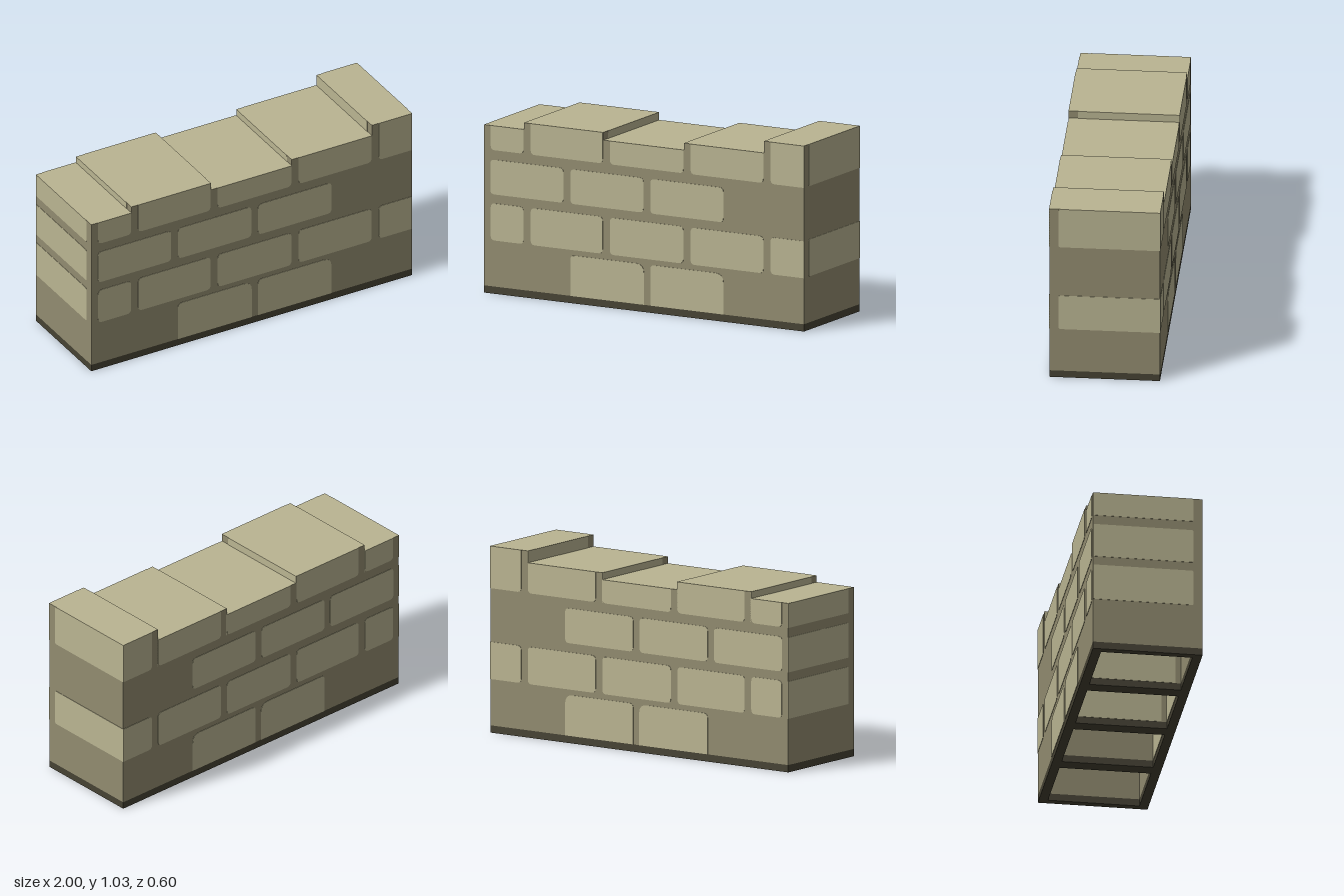
import * as THREE from 'three';

const T = 0.004; // thickness of the painted brick faces
const Z = 0.3; // half depth of the wall

// Thin brick face; r = corner radii [bottom left, bottom right, top right, top left]
function brickGeometry(x0, x1, y0, y1, [bl, br, tr, tl]) {
  const s = new THREE.Shape();
  s.moveTo(x0 + bl, y0);
  s.lineTo(x1 - br, y0);
  s.quadraticCurveTo(x1, y0, x1, y0 + br);
  s.lineTo(x1, y1 - tr);
  s.quadraticCurveTo(x1, y1, x1 - tr, y1);
  s.lineTo(x0 + tl, y1);
  s.quadraticCurveTo(x0, y1, x0, y1 - tl);
  s.lineTo(x0, y0 + bl);
  s.quadraticCurveTo(x0, y0, x0 + bl, y0);
  const g = new THREE.ExtrudeGeometry(s, { depth: T, bevelEnabled: false, curveSegments: 4 });
  return g.translate(0, 0, -T / 2);
}

export function createModel() {
  const light = new THREE.MeshStandardMaterial({ color: 0xbab592 });
  const mortar = new THREE.MeshStandardMaterial({ color: 0x928c70 });
  const dark = new THREE.MeshStandardMaterial({ color: 0x464233 });
  light.name = 'paleStone';
  mortar.name = 'mortar';
  dark.name = 'darkBase';

  const model = new THREE.Group();
  model.name = 'brickWall';
  const add = (name, geometry, material, x = 0, y = 0, z = 0) => {
    const m = new THREE.Mesh(geometry, material);
    m.name = name;
    m.position.set(x, y, z);
    model.add(m);
    return m;
  };
  const box = (name, material, x0, x1, y0, y1, z0, z1) =>
    add(name, new THREE.BoxGeometry(x1 - x0, y1 - y0, z1 - z0), material,
      (x0 + x1) / 2, (y0 + y1) / 2, (z0 + z1) / 2);

  // Hollow foot: four pockets open to the ground
  const ceiling = 0.24, px = 0.21, pz = 0.25;
  const pockets = [-0.75, -0.25, 0.25, 0.75];
  const frame = (name, material, y0, y1) => {
    const rect = (C, cx, w, h) => new C([[-w, -h], [w, -h], [w, h], [-w, h]]
      .map(([x, y]) => new THREE.Vector2(cx + x, y)));
    const s = rect(THREE.Shape, 0, 1, Z);
    for (const cx of pockets) s.holes.push(rect(THREE.Path, cx, px, pz));
    const g = new THREE.ExtrudeGeometry(s, { depth: y1 - y0, bevelEnabled: false });
    add(name, g.rotateX(-Math.PI / 2), material, 0, y0, 0);
  };
  frame('baseRim', dark, 0, 0.04);
  frame('lowerWall', mortar, 0.04, ceiling);

  // Pale faces inside the pockets
  for (const cx of pockets) {
    if (Math.abs(cx) < 0.5) {
      box('pocketCeiling', light, cx - px, cx + px, ceiling - T / 2, ceiling + T / 2, -pz, pz);
      for (const s of [-1, 1])
        box('pocketBrick', light, cx - px, cx + px, 0.04, ceiling, s * pz - T / 2, s * pz + T / 2);
    }
    const wx = cx - Math.sign(cx) * px;
    box('pocketSideBrick', light, wx - T / 2, wx + T / 2, 0.04, ceiling, -pz, 0.22);
  }

  // Solid body above the pockets
  const capY = 0.795;
  box('wallBody', mortar, -1, 1, ceiling, capY, -Z, Z);

  // Brick faces repeated on the front and the back
  const r = 0.025;
  const addBrick = (x0, x1, y0, y1, corners) => {
    const g = brickGeometry(x0, x1, y0, y1, corners);
    add('frontBrick', g, light, 0, 0, Z);
    add('backBrick', g, light, 0, 0, -Z);
  };
  // Brick face on one end of the wall or on a step
  const addEndBrick = (x, y0, y1) => {
    const g = brickGeometry(-0.25, Z, y0, y1, [0.01, 0, 0, 0.01]);
    add('endBrick', g.rotateY(Math.PI / 2), light, x, 0, 0);
  };

  // Stepped cap blocks: [left, right, top]
  const caps = [[-1, -0.75, 0.93], [-0.75, -0.255, 0.967], [-0.255, 0.25, 0.924],
    [0.25, 0.75, 0.962], [0.75, 1, 1.027]];
  for (const [x0, x1, top] of caps) {
    box('capBlock', [mortar, mortar, light, mortar, mortar, mortar], x0, x1, capY, top, -Z, Z);
    const end = x1 === 1;
    const right = end ? 1 : x1 - 0.003;
    addBrick(x0 + 0.042, right, capY, top, [r, end ? 0 : r, 0, 0]);
    addBrick(x0 + 0.042, right, 0.295, 0.5, end ? [r, 0, 0, r] : [r, r, r, r]);
    addEndBrick(x0, capY, top);
    addEndBrick(x1, capY, top);
  }

  // Remaining courses
  for (const x of [-0.96, -0.46, 0.04]) addBrick(x, x + 0.457, 0.55, 0.742, [r, r, r, r]);
  addBrick(-0.46, 0, 0.04, 0.265, [0, 0, 0.05, r]);
  addBrick(0.04, 0.497, 0.04, 0.265, [0, 0, 0.05, r]);

  // Lower end bricks
  addEndBrick(1, 0.295, 0.5);
  addEndBrick(-1, 0.295, 0.5);
  addEndBrick(-1, 0.55, 0.742);

  return model;
}
